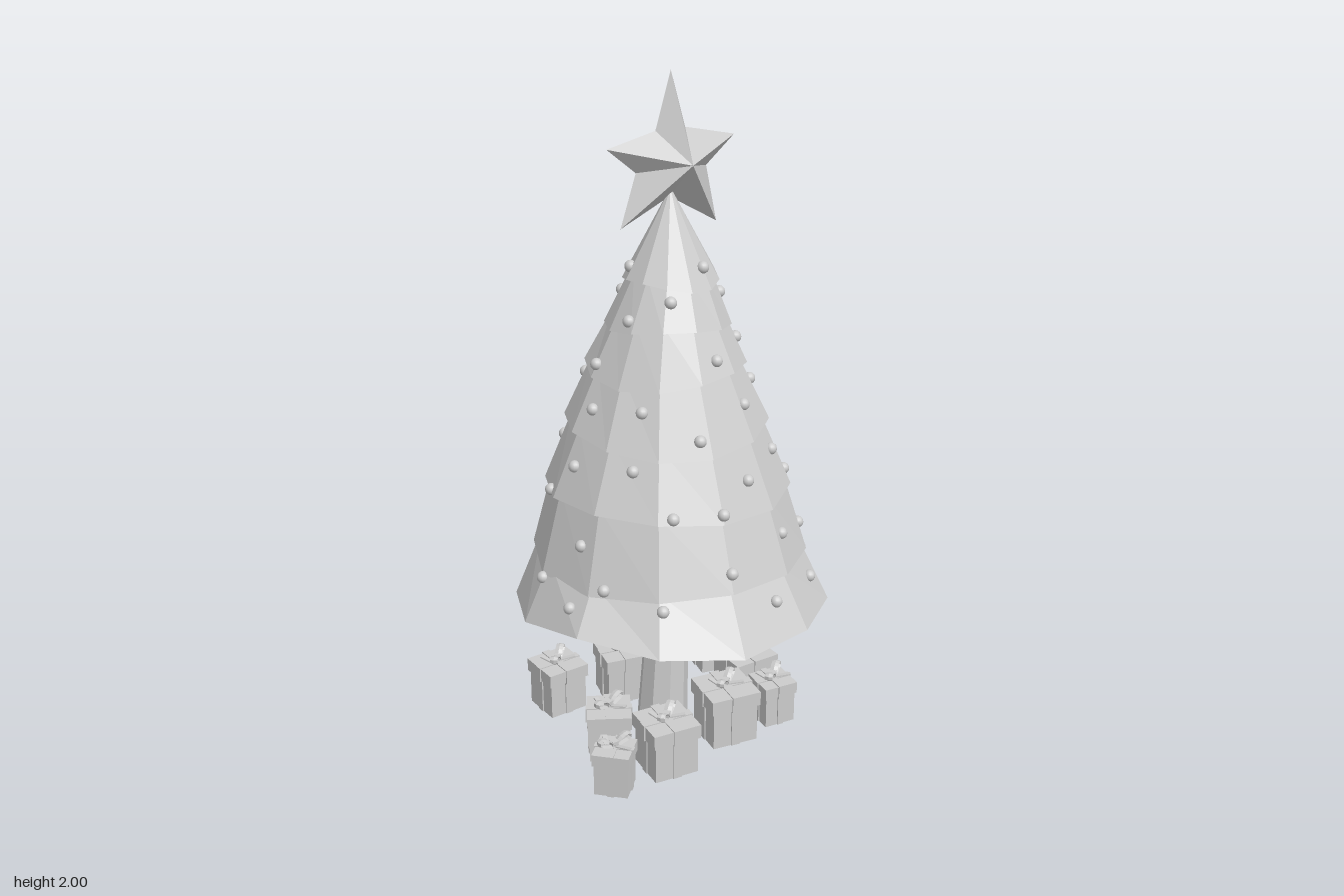
import * as THREE from 'three';

const flat = () => new THREE.MeshStandardMaterial({ color: 0xcccccc, flatShading: true });
const smooth = () => new THREE.MeshStandardMaterial({ color: 0xcccccc });

function add(parent, name, geometry, material, x = 0, y = 0, z = 0) {
  const mesh = new THREE.Mesh(geometry, material);
  mesh.name = name;
  mesh.position.set(x, y, z);
  parent.add(mesh);
  return mesh;
}

// Rims of the foliage tiers: [centre x, height, centre z, radius]; the last is the tip
const RIMS = [
  [0, 0.44, 0.01, 0.475], [0, 0.6, -0.01, 0.412], [0, 0.805, -0.033, 0.367],
  [0, 0.985, -0.043, 0.302], [0, 1.16, -0.052, 0.237], [0.008, 1.295, -0.055, 0.185],
  [0.018, 1.415, -0.062, 0.14], [0.02, 1.65, -0.07, 0.025],
];
const SIDES = 12;
// Height change of each corner of the lowest rim
const SKIRT = [0.01, 0.015, -0.005, -0.01, -0.02, -0.04, -0.04, -0.04, -0.02, 0.01, 0.06, 0.035];

// One faceted skirt with an underside, a wavy rim and a leaning axis
function tier(i) {
  const [x0, y0, z0, r0] = RIMS[i];
  const [x1, y1, z1, r1] = RIMS[i + 1];
  const profile = [[0.02, y0 + 0.05], [r0, y0], [r1 - 0.025, y1 + 0.025]];
  const geo = new THREE.LatheGeometry(profile.map(p => new THREE.Vector2(...p)), SIDES, 0.19);
  const pos = geo.attributes.position;
  for (let v = 0; v < pos.count; v++) {
    const k = Math.floor(v / 3) % SIDES, level = v % 3;
    const top = level === 2;
    let y = pos.getY(v);
    if (level === 1) y += i === 0 ? SKIRT[k] : 0.015 * Math.sin(k * Math.PI / 3 + i * 1.7);
    pos.setXYZ(v, pos.getX(v) + (top ? x1 : x0), y, pos.getZ(v) + (top ? z1 : z0));
  }
  geo.computeVertexNormals();
  return geo;
}

// Slightly uneven five-pointed star, raised in the middle on both sides
function starGeometry(front, back) {
  const ring = [
    [0, 0.25, 0], [-0.055, 0.088, 0], [-0.225, 0.06, 0], [-0.125, -0.02, 0], [-0.18, -0.17, 0],
    [-0.005, -0.105, 0], [0.17, -0.205, 0], [0.13, -0.035, 0], [0.235, 0.04, 0], [0.052, 0.085, 0],
  ];
  const tris = [];
  ring.forEach((p, i) => {
    const q = ring[(i + 1) % 10];
    tris.push(...p, ...q, 0, 0, front, ...q, ...p, 0, 0, -back);
  });
  const geo = new THREE.BufferGeometry();
  geo.setAttribute('position', new THREE.Float32BufferAttribute(tris, 3));
  geo.computeVertexNormals();
  return geo;
}

// Gift box with lid, crossed ribbons and a bow
function present(size, height) {
  const g = new THREE.Group();
  g.name = 'present';
  const lid = size * 1.1, band = size * 0.2, lidH = height * 0.27, bodyH = height - lidH;
  const box = (name, w, h, d, y) => add(g, name, new THREE.BoxGeometry(w, h, d), flat(), 0, y, 0);
  box('boxBody', size, bodyH, size, bodyH / 2);
  box('boxLid', lid, lidH, lid, height - lidH / 2);
  for (const turn of [0, Math.PI / 2]) {
    box('bodyRibbon', band, bodyH, size + 0.008, bodyH / 2).rotation.y = turn;
    box('lidRibbon', band, lidH + 0.006, lid + 0.008, height - lidH / 2).rotation.y = turn;
  }
  const bow = new THREE.Group();
  bow.name = 'bow';
  bow.position.y = height + 0.006;
  bow.rotation.y = Math.PI / 4;
  g.add(bow);
  add(bow, 'bowKnot', new THREE.BoxGeometry(0.02, 0.018, 0.02), flat(), 0, 0.008, 0);
  for (const s of [-1, 1]) {
    // Loop: a strip bent into a drop
    const path = [[0, 0], [0.025, 0.026], [0.05, 0.03], [0.05, 0.015], [0.025, 0.006]];
    const curve = new THREE.CatmullRomCurve3(path.map(([x, y]) => new THREE.Vector3(s * x, y, 0)), true);
    const loop = add(bow, 'bowLoop', new THREE.TubeGeometry(curve, 12, 0.003, 4, true), flat());
    loop.scale.z = 4;
    const tail = add(bow, 'bowTail', new THREE.BoxGeometry(0.014, 0.004, 0.05), flat(), s * 0.012, 0.004, s * 0.028);
    tail.rotation.set(s * -0.15, s * 0.4, 0);
  }
  return g;
}

export function createModel() {
  const model = new THREE.Group();
  model.name = 'decoratedTree';

  // Trunk, leaning a little
  const trunkGeo = new THREE.CylinderGeometry(0.058, 0.08, 0.55, 9);
  trunkGeo.translate(0, 0.275, 0);
  const trunk = trunkGeo.attributes.position;
  for (let v = 0; v < trunk.count; v++) {
    const t = trunk.getY(v) / 0.55;
    trunk.setX(v, trunk.getX(v) - 0.028 * (1 - t));
    trunk.setZ(v, trunk.getZ(v) + 0.015 * (1 - t) - 0.007);
  }
  add(model, 'trunk', trunkGeo, flat());

  // Foliage
  const foliage = new THREE.Group();
  foliage.name = 'foliage';
  model.add(foliage);
  for (let i = 0; i < RIMS.length - 1; i++) add(foliage, 'foliageTier', tier(i), flat());

  // Baubles, [x, z], dropped onto the foliage from above
  const baubles = [
    [-0.17, -0.4], [0, -0.41], [-0.07, -0.39], [0.23, -0.37], [-0.03, -0.35], [-0.3, -0.325], [-0.285, -0.29],
    [-0.195, -0.31], [0, -0.315], [0.155, -0.32], [0.265, -0.3], [0.27, -0.27], [0.385, -0.19], [-0.145, -0.25],
    [0, -0.23], [0.125, -0.25], [-0.28, -0.17], [-0.215, -0.155], [-0.01, -0.2], [-0.105, -0.145], [0.07, -0.155],
    [0.29, -0.15], [0.265, -0.11], [0.425, -0.025], [-0.355, -0.02], [-0.215, -0.01], [-0.3, 0.06], [-0.24, 0.045],
    [-0.405, 0.075], [-0.13, 0.035], [-0.02, 0.08], [0.09, 0.02], [0.155, -0.035], [0.195, 0], [0.24, 0],
    [0.35, 0.01], [0.28, 0.095], [0.37, 0.095], [0.1, 0.13], [0.18, 0.135], [-0.125, 0.16], [-0.165, 0.21],
    [0.025, 0.23], [0.165, 0.235], [0.27, 0.235], [0.38, 0.185], [-0.31, 0.175], [-0.36, 0.235], [-0.27, 0.28],
    [-0.075, 0.31], [0.07, 0.315], [0.08, 0.37], [0.22, 0.35], [-0.125, 0.385], [-0.1, -0.06],
  ];
  const baubleGeo = new THREE.SphereGeometry(0.018, 14, 10);
  const baubleMat = smooth();
  const down = new THREE.Vector3(0, -1, 0);
  model.updateMatrixWorld(true);
  for (const [x, z] of baubles) {
    const hit = new THREE.Raycaster(new THREE.Vector3(x, 3, z), down).intersectObject(foliage, true)[0];
    if (hit) add(model, 'bauble', baubleGeo, baubleMat, x, hit.point.y + 0.003, z);
  }

  // Star on top
  const star = add(model, 'star', starGeometry(0.098, 0.058), flat(), 0.025, 1.75, -0.085);
  star.rotation.y = 0.42;

  // Presents around the trunk: [x, z, size, turn]
  const presents = [
    [-0.263, 0.355, 0.1, -0.48], [-0.09, 0.29, 0.138, 0.2], [0.13, 0.165, 0.145, 0.15], [0.298, 0.115, 0.1, 0.2],
    [0.25, -0.025, 0.138, 0.3], [0.22, -0.26, 0.135, 0.1], [0.05, -0.4, 0.12, -0.2], [0.04, -0.24, 0.115, 0.4],
    [-0.12, -0.15, 0.13, 0.1], [-0.33, -0.13, 0.125, 0.35], [-0.235, 0.165, 0.12, -0.2],
  ];
  for (const [x, z, size, turn] of presents) {
    const p = present(size, 0.065 + size * 0.7);
    p.position.set(x, 0.012, z);
    p.rotation.y = turn;
    model.add(p);
  }
  return model;
}
